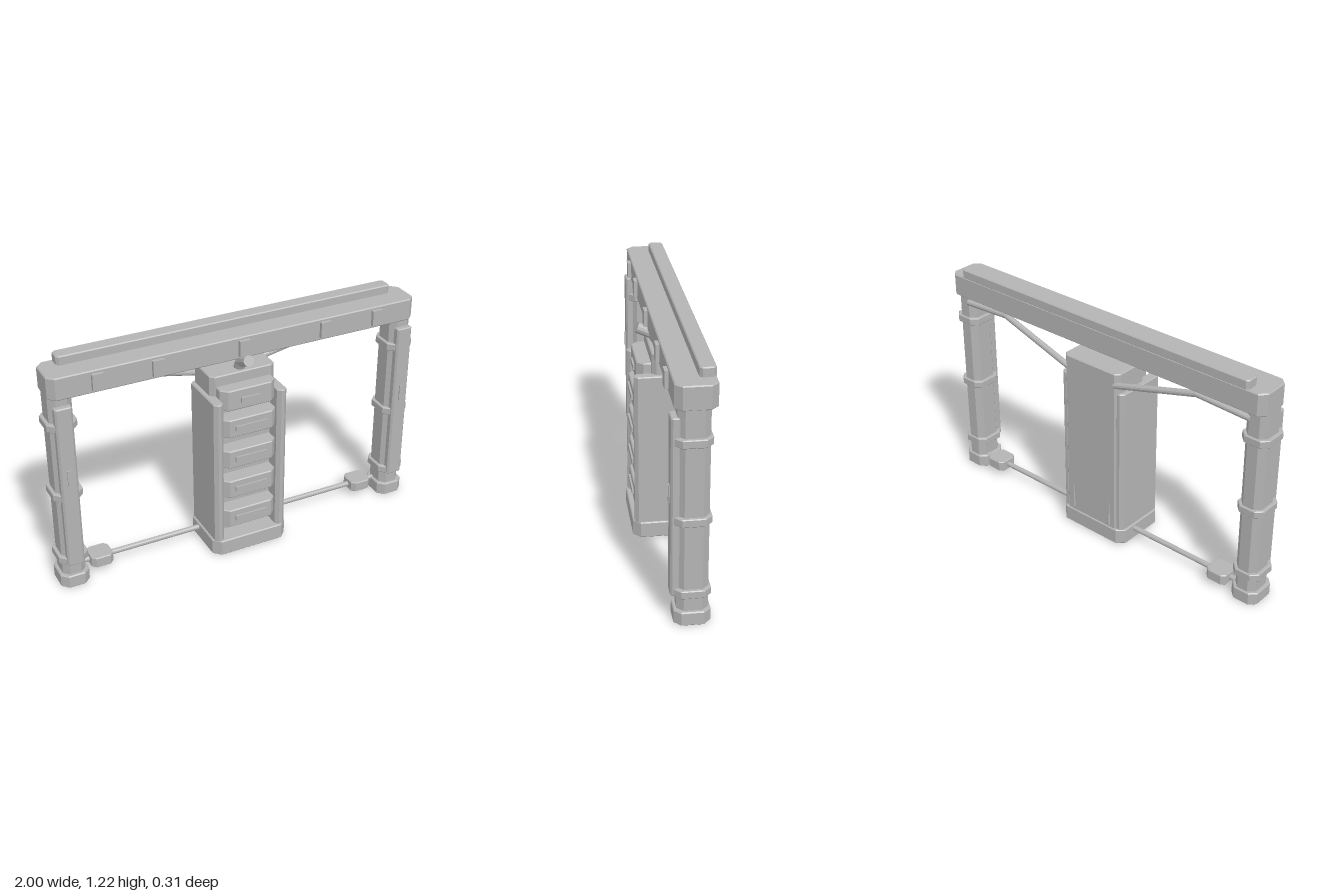
import * as THREE from 'three';

const grey = new THREE.MeshStandardMaterial({ color: 0xb4b4b4, flatShading: true });
grey.name = 'plain grey';

// Upright block given by its limits, with chamfered vertical edges and a fine bevel at top and bottom
function block(parent, name, [x0, x1], [y0, y1], [z0, z1], c = 0.02, b = 0.005) {
  const w = (x1 - x0) / 2 - b, d = (z1 - z0) / 2 - b;
  const pts = [[w, c - d], [w, d - c], [w - c, d], [c - w, d], [-w, d - c], [-w, c - d], [c - w, -d], [w - c, -d]];
  const shape = new THREE.Shape(pts.map(([x, z]) => new THREE.Vector2(x, z)));
  const geo = new THREE.ExtrudeGeometry(shape, {
    depth: y1 - y0 - 2 * b, bevelEnabled: b > 0, bevelSize: b, bevelThickness: b, bevelSegments: 1,
  });
  geo.rotateX(-Math.PI / 2);
  return add(parent, name, geo, (x0 + x1) / 2, y0 + b, (z0 + z1) / 2);
}

function add(parent, name, geo, x = 0, y = 0, z = 0) {
  const mesh = new THREE.Mesh(geo, grey);
  mesh.name = name;
  mesh.position.set(x, y, z);
  parent.add(mesh);
  return mesh;
}

function box(parent, name, [x0, x1], [y0, y1], [z0, z1]) {
  return add(parent, name, new THREE.BoxGeometry(x1 - x0, y1 - y0, z1 - z0),
    (x0 + x1) / 2, (y0 + y1) / 2, (z0 + z1) / 2);
}

// Straight round bar between two points
function bar(parent, name, from, to, r0, r1 = r0) {
  const a = new THREE.Vector3(...from), b = new THREE.Vector3(...to), dir = b.clone().sub(a);
  const mesh = add(parent, name, new THREE.CylinderGeometry(r1, r0, dir.length(), 12));
  mesh.position.copy(a).add(b).multiplyScalar(0.5);
  mesh.quaternion.setFromUnitVectors(new THREE.Vector3(0, 1, 0), dir.normalize());
}

// Bars along a bent path, with a ball at each bend
function bentBar(parent, name, points, r) {
  for (let i = 1; i < points.length; i++) {
    bar(parent, name, points[i - 1], points[i], r);
    if (i < points.length - 1) add(parent, name + 'Joint', new THREE.SphereGeometry(r, 12, 8), ...points[i]);
  }
}

function group(parent, name) {
  const g = new THREE.Group();
  g.name = name;
  parent.add(g);
  return g;
}

export function createModel() {
  const model = new THREE.Group();
  model.name = 'gantry';

  // Overhead beam, its rail and front tabs
  const top = group(model, 'overheadBeam');
  block(top, 'beam', [-0.985, 0.985], [1.06, 1.175], [-0.13, 0.06], 0.03);
  block(top, 'topRail', [-0.9, 0.9], [1.17, 1.22], [-0.13, -0.055], 0.01);
  for (const x of [-0.75, -0.45, 0, 0.45, 0.75])
    box(top, 'beamTab', [x - 0.029, x + 0.029], [1.077, 1.16], [0.05, 0.078]);

  // Both side posts with everything attached to them
  for (const s of [-1, 1]) {
    const side = group(model, s > 0 ? 'leftPost' : 'rightPost');
    const span = (a, b) => (s > 0 ? [a, b] : [-b, -a]);
    block(side, 'foot', span(0.85, 1), [0, 0.07], [-0.11, 0.06], 0.03);
    block(side, 'post', span(0.865, 0.983), [0.06, 1.07], [-0.1, 0.045], 0.03, 0);
    for (const y of [0.142, 0.51, 0.892])
      block(side, 'band', span(0.85, 1), [y, y + 0.04], [-0.11, 0.06], 0.03, 0.004);
    block(side, 'frontPanel', span(0.882, 0.968), [0.142, 1.022], [0.03, 0.074], 0.006);
    box(side, 'panelHandle', span(0.915, 0.935), [0.605, 0.69], [0.07, 0.08]);

    // Floor bar with its connector
    bar(side, 'floorBar', [s * 0.15, 0.062, -0.05], [s * 0.9, 0.062, -0.05], 0.014);
    block(side, 'connector', span(0.705, 0.822), [0.035, 0.092], [-0.108, 0.008], 0.018, 0.004);

    // Upper brace running to the cabinet back
    bentBar(side, 'brace', [[s * 0.9, 1.018, -0.095], [s * 0.61, 1.038, -0.105], [s * 0.15, 0.925, -0.14]], 0.016);
    // Slender spike at the foot of the cabinet back
    bar(side, 'backSpike', [s * 0.12, 0.1, -0.145], [s * 0.12, 0.29, -0.147], 0.011, 0.001);
  }

  // Central cabinet
  const cabinet = group(model, 'cabinet');
  block(cabinet, 'base', [-0.21, 0.21], [0, 0.086], [-0.155, 0.157], 0.035);
  block(cabinet, 'body', [-0.177, 0.177], [0.08, 0.99], [-0.149, 0.058], 0.02);
  for (const s of [-1, 1]) {
    const lim = s > 0 ? [0.147, 0.2] : [-0.2, -0.147];
    block(cabinet, 'sidePanel', lim, [0.08, 0.884], [-0.141, 0.147], 0.015);
  }

  // Stack of drawers with handles
  for (const y of [0.15, 0.327, 0.503, 0.68, 0.825]) {
    const last = y > 0.8;
    const front = last ? 0.128 : 0.142;
    block(cabinet, 'drawer', [-0.15, 0.15], [y, y + (last ? 0.11 : 0.1)], [0, front], 0.03);
    const w = last ? 0.05 : 0.087;
    box(cabinet, 'drawerHandle', [-w, w], [y + 0.037, y + 0.064], [front - 0.01, front + 0.009]);
  }

  // Bent spout on the cabinet top
  bentBar(cabinet, 'spout', [[0, 0.97, 0], [0, 1.03, 0.03], [0, 1.068, 0.112]], 0.028);

  return model;
}
